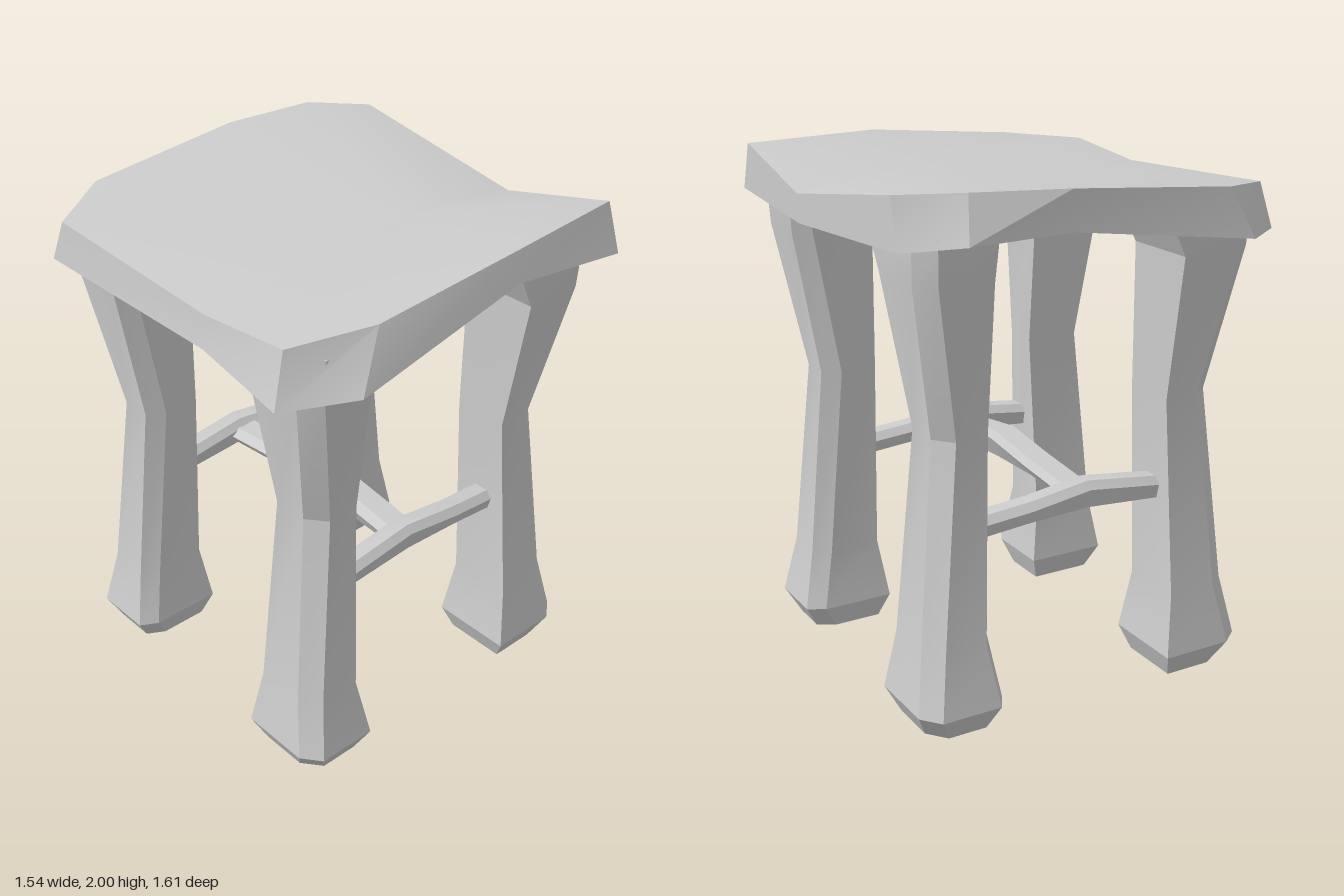
import * as THREE from 'three';
import { toCreasedNormals } from 'three/addons/utils/BufferGeometryUtils.js';

// Skins a stack of rings (counter-clockwise seen from the last one) and caps both ends.
function loft(rings, startCentre, endCentre) {
  const n = rings[0].length;
  const pos = [];
  const tri = (...points) => points.forEach((p) => pos.push(...p));
  const average = (ring) => [0, 1, 2].map((k) => ring.reduce((s, p) => s + p[k], 0) / n);
  const first = rings[0];
  const last = rings[rings.length - 1];
  const c0 = startCentre || average(first);
  const c1 = endCentre || average(last);
  for (let i = 0; i < n; i++) {
    const j = (i + 1) % n;
    for (let r = 0; r < rings.length - 1; r++) {
      const a = rings[r], b = rings[r + 1];
      tri(a[i], a[j], b[j]);
      tri(a[i], b[j], b[i]);
    }
    tri(c0, first[j], first[i]);
    tri(c1, last[i], last[j]);
  }
  const geometry = new THREE.BufferGeometry();
  geometry.setAttribute('position', new THREE.Float32BufferAttribute(pos, 3));
  return toCreasedNormals(geometry, 0.35);
}

export function createModel() {
  const model = new THREE.Group();
  model.name = 'stool';
  const grey = new THREE.MeshStandardMaterial({ color: 0xcccccc });
  grey.name = 'plain grey';

  function add(name, geometry) {
    const mesh = new THREE.Mesh(geometry, grey);
    mesh.name = name;
    model.add(mesh);
    return mesh;
  }

  // Seat: uneven slab with cut corners and a dished top
  const lowerRim = [
    [-0.775, 1.71, 0.65], [-0.53, 1.73, 0.8], [0.21, 1.88, 0.785], [0.77, 1.8, 0.765],
    [0.77, 1.755, 0.22], [0.77, 1.8, -0.6], [0.6, 1.835, -0.78], [0.21, 1.845, -0.785],
    [-0.54, 1.745, -0.805], [-0.725, 1.74, -0.67], [-0.725, 1.74, 0.22],
  ];
  const upperRim = [
    [-0.71, 1.905, 0.62], [-0.41, 1.935, 0.74], [0.21, 1.99, 0.755], [0.77, 1.985, 0.7],
    [0.77, 1.865, 0.22], [0.77, 1.985, -0.56], [0.57, 2, -0.72], [0.21, 1.99, -0.78],
    [-0.45, 1.935, -0.77], [-0.71, 1.905, -0.61], [-0.71, 1.865, 0.22],
  ];
  add('seat', loft([lowerRim, upperRim], [0.21, 1.825, 0.22], [0.21, 1.935, 0.22]));

  // Legs: one six-sided carved post, turned four times about the middle of the frame
  const centreX = 0.037;
  const legLevels = [ // y, x0, x1, z0, z1
    [0, 0.415, 0.68, 0.395, 0.65],
    [0.1, 0.375, 0.735, 0.36, 0.7],
    [0.34, 0.41, 0.685, 0.395, 0.66],
    [1.11, 0.415, 0.63, 0.355, 0.58],
    [1.68, 0.4, 0.72, 0.375, 0.685],
    [1.85, 0.315, 0.73, 0.36, 0.69],
  ];
  const legRings = legLevels.map(([y, x0, x1, z0, z1]) => [
    [x0, z1], [x1 - 0.075, z1], [x1, z1 - 0.06],
    [x1, z0 + 0.04], [x1 - 0.07, z0], [x0, z0],
  ].map(([x, z]) => [x - centreX, y, z]));
  const legGeometry = loft(legRings);
  ['frontLeftLeg', 'backLeftLeg', 'backRightLeg', 'frontRightLeg'].forEach((name, i) => {
    const leg = add(name, legGeometry);
    leg.position.x = centreX;
    leg.rotation.y = i * Math.PI / 2;
  });

  // Cross rails between the two front legs and the two back legs
  const railLevels = [ // x, bottom, top
    [-0.45, 0.7, 0.78], [-0.03, 0.732, 0.835], [0.22, 0.722, 0.8], [0.5, 0.7, 0.78],
  ];
  for (const [name, z] of [['frontRail', 0.5], ['backRail', -0.5]]) {
    add(name, loft(railLevels.map(([x, y0, y1]) => [
      [x, y0, z + 0.04], [x, y0, z - 0.04], [x, y1 - 0.03, z - 0.055],
      [x, y1, z - 0.03], [x, y1, z + 0.03], [x, y1 - 0.03, z + 0.055],
    ])));
  }

  // Middle rail joining the front and back rails
  const middleLevels = [ // z, bottom, top
    [-0.53, 0.73, 0.8], [-0.2, 0.757, 0.83], [0.07, 0.752, 0.863], [0.52, 0.722, 0.8],
  ];
  add('middleRail', loft(middleLevels.map(([z, y0, y1]) => [
    [-0.06, y0, z], [0.02, y0, z], [0.05, y1 - 0.03, z],
    [0.03, y1, z], [-0.06, y1, z], [-0.09, y1 - 0.03, z],
  ])));

  return model;
}
